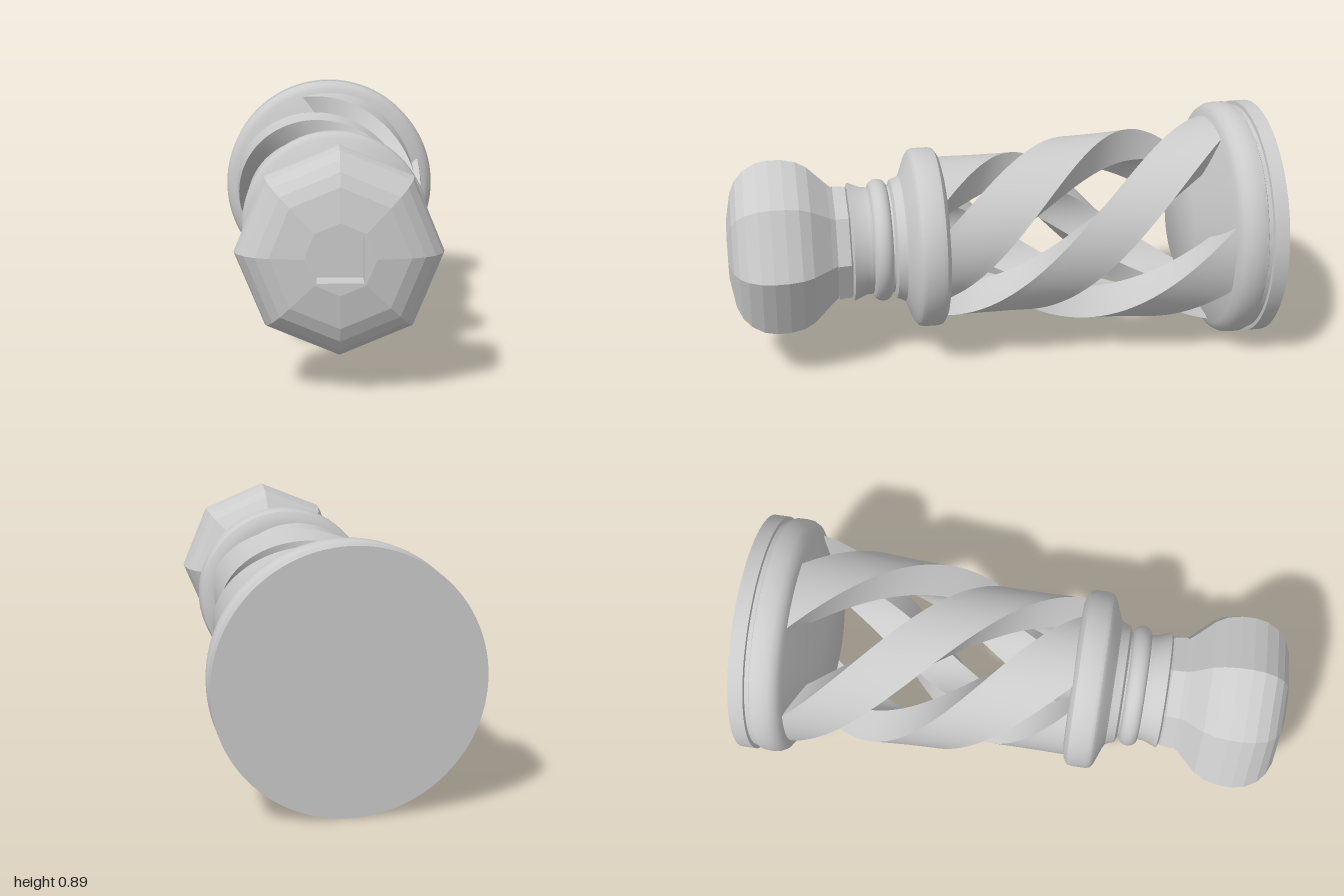
import * as THREE from 'three';
import { toCreasedNormals } from 'three/addons/utils/BufferGeometryUtils.js';

const grey = new THREE.MeshStandardMaterial({ color: 0xcccccc });
const greyFlat = new THREE.MeshStandardMaterial({ color: 0xcccccc, flatShading: true });

// Turned part around the z axis; profile is [radius, z] from back to front
function turned(name, profile, sides = 64, material = grey, start = 0) {
  const points = profile.map(([r, z]) => new THREE.Vector2(r, z));
  const geometry = new THREE.LatheGeometry(points, sides, start);
  geometry.rotateX(Math.PI / 2);
  const mesh = new THREE.Mesh(toCreasedNormals(geometry, 0.6), material);
  mesh.name = name;
  return mesh;
}

// Twisted strut: a box bent into a tightening helix that narrows in radius and widens in angle
function strut(index) {
  const geometry = new THREE.BoxGeometry(1, 1, 1, 8, 1, 72);
  const p = geometry.attributes.position;
  for (let i = 0; i < p.count; i++) {
    const u = p.getX(i) * 2, v = 0.5 - p.getY(i), t = p.getZ(i) + 0.5;
    const centre = 178 - 150 * t - 35 * t * t + 90 * index;
    const halfWidth = 19 + 14.5 * t * t;
    const angle = THREE.MathUtils.degToRad(centre - u * halfWidth);
    const r = 0.397 - 0.117 * t - 0.02 * u * t - v * 0.12;
    p.setXYZ(i, r * Math.cos(angle), r * Math.sin(angle), -0.82 + 1.035 * t);
  }
  const mesh = new THREE.Mesh(toCreasedNormals(geometry, 0.6), grey);
  mesh.name = 'twistedStrut' + (index + 1);
  return mesh;
}

export function createModel() {
  const group = new THREE.Group();
  group.name = 'twistedHandle';

  // Round base with a groove and a shallow cone inside the struts
  group.add(turned('base', [
    [0, -1], [0.446, -1], [0.446, -0.945], [0.432, -0.943], [0.432, -0.928], [0.438, -0.925],
    [0.445, -0.91], [0.446, -0.88], [0.443, -0.855], [0.432, -0.835], [0.41, -0.82],
    [0.385, -0.815], [0.2, -0.72], [0, -0.72],
  ], 96));

  // Four struts twisting about half a turn
  for (let i = 0; i < 4; i++) group.add(strut(i));

  // Collar in front of the struts
  group.add(turned('collar', [
    [0, 0.205], [0.28, 0.208], [0.31, 0.215], [0.33, 0.228], [0.335, 0.245], [0.335, 0.3],
    [0.33, 0.315], [0.313, 0.328], [0.25, 0.352], [0.235, 0.36], [0.228, 0.375], [0.222, 0.392],
    [0.205, 0.4], [0, 0.4],
  ]));

  // Bead on the neck
  const bead = [[0, 0.4], [0.2, 0.4]];
  for (let i = 0; i <= 8; i++) {
    const a = Math.PI * i / 8;
    bead.push([0.198 + 0.03 * Math.sin(a), 0.442 - 0.035 * Math.cos(a)]);
  }
  bead.push([0.2, 0.49], [0, 0.49]);
  group.add(turned('neckBead', bead));

  // Round flare, then an eight-sided ring under the knob
  group.add(turned('neckFlare', [[0, 0.485], [0.2, 0.485], [0.2, 0.5], [0.22, 0.55], [0.205, 0.557], [0, 0.557]]));
  group.add(turned('neckRing', [[0, 0.553], [0.205, 0.553], [0.22, 0.563], [0.225, 0.61], [0, 0.61]], 8, greyFlat));

  // Eight-sided knob
  group.add(turned('knob', [
    [0.21, 0.6], [0.235, 0.63], [0.27, 0.665], [0.305, 0.7], [0.328, 0.74], [0.339, 0.79], [0.34, 0.84],
    [0.331, 0.885], [0.305, 0.93], [0.27, 0.96], [0.225, 0.98], [0.115, 1],
  ], 8, greyFlat));

  // Knob face pierced by a square socket
  const half = 0.075;
  const face = new THREE.Shape();
  for (let i = 0; i < 8; i++) {
    const a = i * Math.PI / 4, x = 0.115 * Math.cos(a), y = 0.115 * Math.sin(a);
    if (i) face.lineTo(x, y); else face.moveTo(x, y);
  }
  face.closePath();
  face.holes.push(new THREE.Path([[-1, -1], [-1, 1], [1, 1], [1, -1]]
    .map(([x, y]) => new THREE.Vector2(x * half, y * half))));
  const knobFace = new THREE.Mesh(new THREE.ShapeGeometry(face), greyFlat);
  knobFace.name = 'knobFace';
  knobFace.position.z = 1;
  group.add(knobFace);

  // Socket walls and floor, facing inward
  const corner = half * Math.SQRT2;
  group.add(turned('squareSocket', [[corner, 1], [corner, 0.9], [0, 0.9]], 4, greyFlat, Math.PI / 4));

  group.children.forEach((part) => { part.position.y = 0.446; });
  return group;
}
